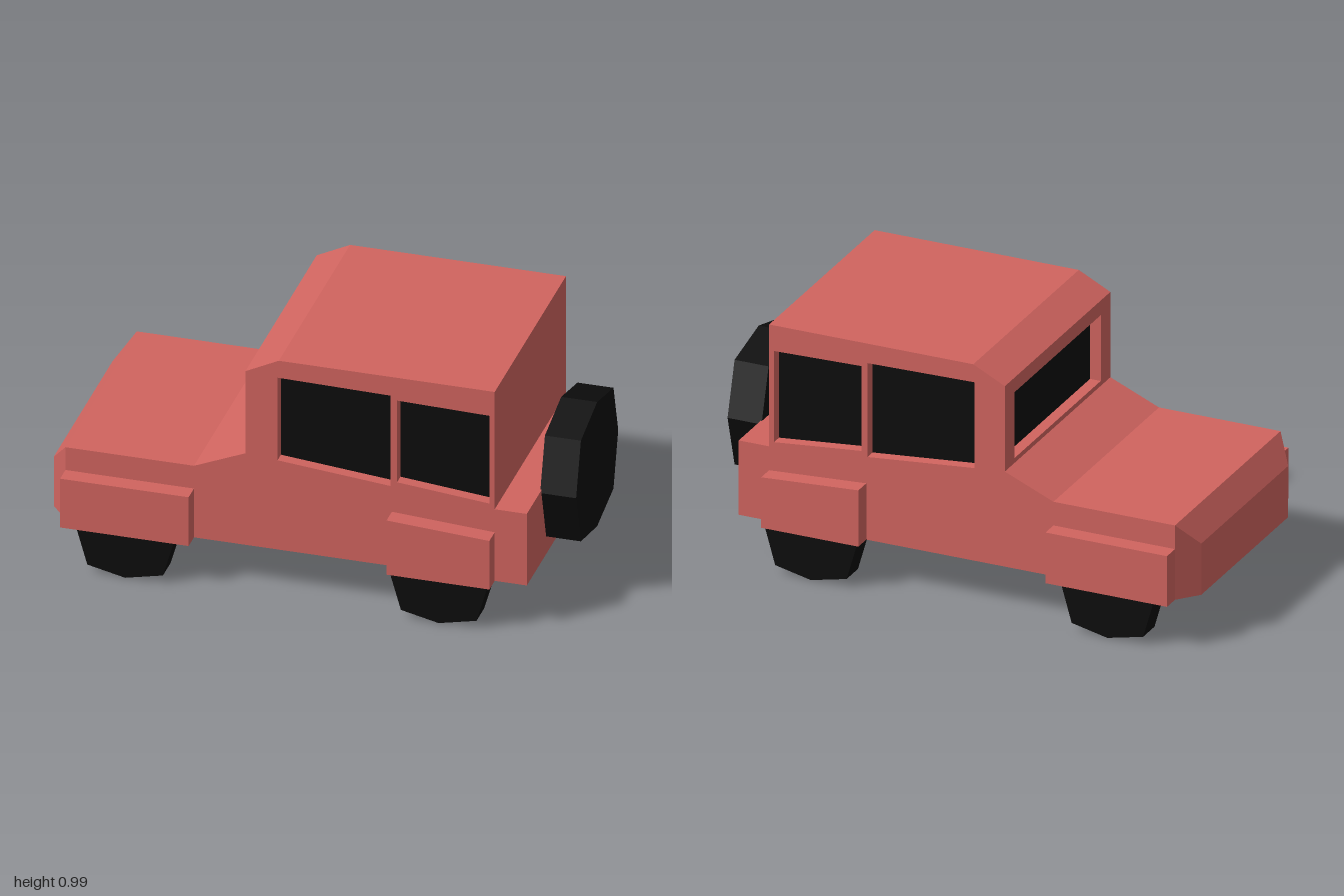
import * as THREE from 'three';
import { ConvexGeometry } from 'three/addons/geometries/ConvexGeometry.js';

export function createModel() {
  const model = new THREE.Group();
  const paint = new THREE.MeshStandardMaterial({ color: 0xd0645f });
  paint.name = 'red paint';
  const black = new THREE.MeshStandardMaterial({ color: 0x0c0c0c });
  black.name = 'black';

  const add = (name, geometry, material, parent = model) => {
    const mesh = new THREE.Mesh(geometry, material);
    mesh.name = name;
    parent.add(mesh);
    return mesh;
  };
  const toPoints = (list) => list.map(([a, b]) => new THREE.Vector2(a, b));
  const makeShape = (outline, holes = []) => {
    const shape = new THREE.Shape(toPoints(outline));
    holes.forEach((h) => shape.holes.push(new THREE.Path(toPoints(h))));
    return shape;
  };
  // Side profile (x, y) extruded from z0 to z1
  const slab = (outline, z0, z1, holes) =>
    new THREE.ExtrudeGeometry(makeShape(outline, holes), { depth: z1 - z0, bevelEnabled: false })
      .translate(0, 0, z0);
  const rect = (x0, z0, x1, z1) => [[x0, z0], [x1, z0], [x1, z1], [x0, z1]];

  const W = 0.465, F = 0.535, SEAM = 0.37;

  // Lower body: plan outline with fenders, and open wheel wells underneath
  const half = [[0.865, W], [0.74, W], [0.74, F], [0.34, F], [0.34, W],
    [-0.43, W], [-0.43, F], [-0.93, F], [-0.93, W], [-1, 0.383]];
  const plan = [...half, ...half.map(([x, z]) => [x, -z]).reverse()];
  const wells = [
    rect(-0.92, 0.3, -0.44, 0.527), rect(0.35, 0.3, 0.73, 0.527),
    rect(-0.92, -0.527, -0.44, -0.15), rect(0.35, -0.527, 0.73, -0.22),
  ];
  add('lowerBody', new THREE.ExtrudeGeometry(makeShape(plan, wells),
    { depth: SEAM - 0.18, bevelEnabled: false }).rotateX(Math.PI / 2).translate(0, SEAM, 0), paint);

  // Sloped nose with chamfered corners
  const nose = [];
  for (const s of [-1, 1]) {
    nose.push(new THREE.Vector3(-1, SEAM, 0.383 * s), new THREE.Vector3(-1, 0.39, 0.383 * s),
      new THREE.Vector3(-0.93, SEAM, W * s), new THREE.Vector3(-0.93, 0.485, W * s));
  }
  add('nose', new ConvexGeometry(nose), paint);

  // Upper body: a core notched for the windscreen, then side layers
  const front = [[-0.93, SEAM], [-0.93, 0.485], [-0.43, 0.485], [-0.23, 0.57]];
  const notch = [[-0.23, 0.59], [-0.18, 0.59], [-0.18, 0.86], [-0.23, 0.86]];
  const rear = [[-0.23, 0.92], [-0.1, 0.985], [0.74, 0.985], [0.74, 0.485], [0.865, 0.485], [0.865, SEAM]];
  add('cabinCore', slab([...front, ...notch, ...rear], -0.38, 0.38), paint);
  add('windscreen', new THREE.BoxGeometry(0.008, 0.27, 0.76).translate(-0.182, 0.725, 0), black);

  const windows = [
    [[-0.105, 0.56], [0.335, 0.52], [0.335, 0.905], [-0.105, 0.912]],
    [[0.36, 0.54], [0.72, 0.506], [0.72, 0.88], [0.36, 0.888]],
  ];
  const caps = [
    [[-0.93, SEAM], [-0.43, SEAM], [-0.43, 0.388], [-0.93, 0.388]],
    [[0.34, SEAM], [0.74, SEAM], [0.74, 0.387], [0.34, 0.411]],
  ];
  for (const s of [-1, 1]) {
    const side = new THREE.Group();
    side.name = s > 0 ? 'frontSide' : 'backSide';
    model.add(side);
    const layer = (name, outline, a, b, material, holes) =>
      add(name, slab(outline, Math.min(a * s, b * s), Math.max(a * s, b * s), holes), material, side);
    layer('innerPanel', [...front, ...rear], 0.38, 0.415, paint);
    layer('windowFrame', [...front, ...rear], 0.415, W, paint, windows);
    windows.forEach((w) => layer('sideWindow', w, 0.414, 0.42, black));
    caps.forEach((c) => layer('fenderTop', c, W, F, paint));
  }

  // Eight-sided wheels, with slightly longer diagonals
  const octagon = (r) => [[0, -0.183], [0.147, -0.15], [0.19, 0], [0.147, 0.147],
    [0, 0.183], [-0.147, 0.147], [-0.19, 0], [-0.147, -0.15]].map(([x, y]) => [x * r, y * r]);
  for (const x of [-0.68, 0.54]) {
    for (const z of [-0.475, 0.475]) {
      add('wheel', slab(octagon(1), -0.05, 0.05), black).position.set(x, 0.183, z);
    }
  }
  const spare = add('spareWheel', slab(octagon(1.445), -0.07, 0.07), black);
  spare.rotation.y = Math.PI / 2;
  spare.position.set(0.93, 0.472, 0);

  return model;
}
